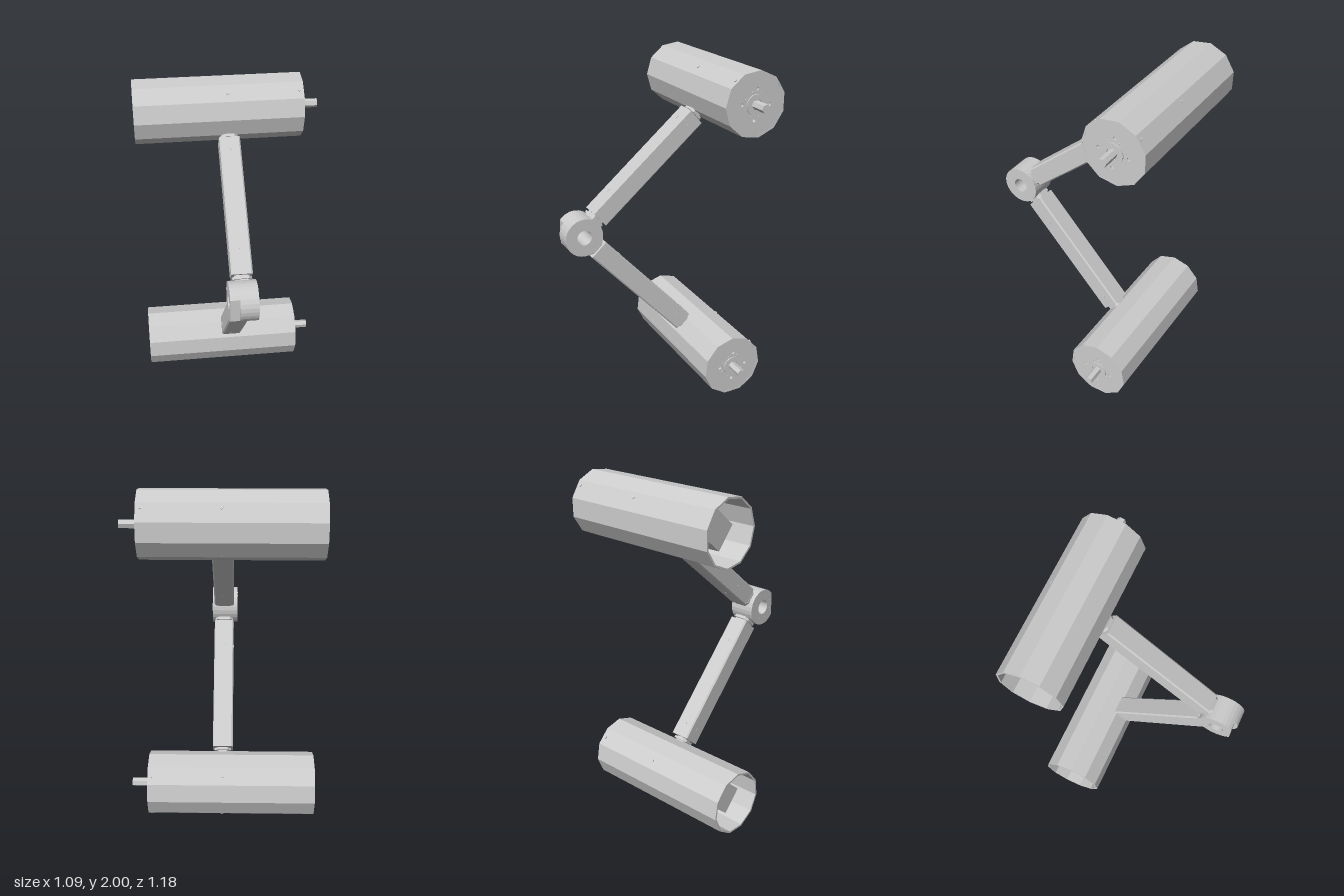
import * as THREE from 'three';

const TAU = Math.PI * 2;
const mat = new THREE.MeshStandardMaterial({ color: 0xcccccc, flatShading: true });

function add(parent, name, geometry, x = 0, y = 0, z = 0) {
  const mesh = new THREE.Mesh(geometry, mat);
  mesh.name = name;
  mesh.position.set(x, y, z);
  parent.add(mesh);
  return mesh;
}

// Regular polygon points in the side plane
function polygon(r, sides, start = 0, cx = 0, cy = 0) {
  return Array.from({ length: sides }, (_, i) => {
    const a = start + (i * TAU) / sides;
    return new THREE.Vector2(cx + r * Math.cos(a), cy + r * Math.sin(a));
  });
}

// Extrude an outline with holes along x, from x0 to x1
function slab(outline, holes, x0, x1) {
  const shape = new THREE.Shape(outline);
  holes.forEach(h => shape.holes.push(new THREE.Path(h)));
  return new THREE.ExtrudeGeometry(shape, { depth: x1 - x0, bevelEnabled: false })
    .rotateY(Math.PI / 2).translate(x0, 0, 0);
}

// Square bar along y with small chamfered edges
function squareBar(w, c, y0, y1) {
  const h = w / 2, s = new THREE.Shape();
  s.moveTo(-h + c, -h);
  [[h - c, -h], [h, -h + c], [h, h - c], [h - c, h], [-h + c, h], [-h, h - c], [-h, -h + c]]
    .forEach(p => s.lineTo(p[0], p[1]));
  return new THREE.ExtrudeGeometry(s, { depth: y1 - y0, bevelEnabled: false })
    .rotateX(-Math.PI / 2).translate(0, y0, 0);
}

// Screw head lying in a plane whose normal is n
function screw(parent, pos, n, r = 0.01) {
  const m = add(parent, 'screw', new THREE.CylinderGeometry(r, r, 0.006, 8), ...pos);
  m.quaternion.setFromUnitVectors(new THREE.Vector3(0, 1, 0), new THREE.Vector3(...n));
}

// Hollow drum with end cap, motor and drive shaft, centred on its own axis
function buildDrum() {
  const drum = new THREE.Group();
  drum.name = 'drum';
  const sides = 11, start = Math.PI - Math.PI / sides;
  add(drum, 'drumShell', slab(polygon(0.19, sides, start), [polygon(0.179, sides, start)], -0.545, 0.44));

  // end cap drilled with four bolt holes
  const holes = [0, 1, 2, 3].map(i => {
    const a = Math.PI / 4 + i * Math.PI / 2;
    return polygon(0.01, 10, 0, 0.088 * Math.cos(a), 0.088 * Math.sin(a));
  });
  add(drum, 'endCap', slab(polygon(0.18, sides, start), holes, 0.425, 0.439));
  add(drum, 'capBoss', slab(polygon(0.06, 20), [polygon(0.034, 20)], 0.437, 0.446));
  add(drum, 'driveShaft', slab(polygon(0.026, 6), [], 0.4, 0.545));
  for (let i = 0; i < 8; i++) {
    const a = (i + 0.5) * TAU / 8;
    screw(drum, [0.44, 0.073 * Math.cos(a), 0.073 * Math.sin(a)], [1, 0, 0], 0.006);
  }
  add(drum, 'motor', new THREE.BoxGeometry(0.86, 0.16, 0.16), -0.03, 0, 0);

  // screws through the shell
  for (const x of [0, 0.415]) {
    for (const s of [-1, 1]) screw(drum, [x, 0, s * 0.185], [0, 0, s], 0.009);
    screw(drum, [x, 0.184, 0], [0, 1, 0], 0.009);
  }
  return drum;
}

// Arm leaving the hinge along +y and carrying a drum at its far end
function buildLeg(name, length) {
  const leg = new THREE.Group();
  leg.name = name;
  const y0 = 0.137, y1 = length - 0.212;
  add(leg, 'arm', squareBar(0.122, 0.008, y0, y1));
  add(leg, 'hingeNeck', squareBar(0.09, 0.012, 0.085, y0 + 0.01));
  add(leg, 'hingeFlange', squareBar(0.112, 0.02, 0.112, 0.127));
  add(leg, 'drumNeck', squareBar(0.07, 0.012, y1 - 0.01, length - 0.16));
  add(leg, 'drumFlange', squareBar(0.1, 0.02, y1 + 0.006, y1 + 0.02));
  for (const y of [0.295, 0.885]) {
    for (const s of [-1, 1]) {
      screw(leg, [s * 0.06, y, 0], [s, 0, 0]);
      screw(leg, [0, y, s * 0.06], [0, 0, s]);
    }
  }
  const drum = buildDrum();
  drum.position.y = length;
  leg.add(drum);
  return leg;
}

// Ring hinge of two discs; the outer one has a flat on its front
function buildHinge() {
  const hinge = new THREE.Group();
  hinge.name = 'hinge';
  const bore = polygon(0.045, 24);
  add(hinge, 'hingeDisc', slab(polygon(0.115, 28), [bore], -0.03, 0.075));
  const flat = polygon(0.115, 28).map(p => new THREE.Vector2(Math.max(p.x, -0.09), p.y));
  add(hinge, 'hingeFork', slab(flat, [bore], -0.085, -0.03));
  for (let i = 0; i < 8; i++) {
    const a = (i + 0.5) * TAU / 8;
    for (const [x, s] of [[0.075, 1], [-0.085, -1]])
      screw(hinge, [x - s * 0.002, 0.075 * Math.cos(a), 0.075 * Math.sin(a)], [s, 0, 0], 0.005);
  }
  return hinge;
}

export function createModel() {
  const model = new THREE.Group();
  model.name = 'foldingArm';
  const hy = 1.045, hz = 0.475;

  const hinge = buildHinge();
  hinge.position.set(0, hy, hz);
  model.add(hinge);

  // upper and lower legs aim from the hinge to their drum centres
  for (const [name, y, z] of [['upperLeg', 1.812, -0.409], ['lowerLeg', 0.1835, -0.327]]) {
    const dy = y - hy, dz = z - hz;
    const leg = buildLeg(name, Math.hypot(dy, dz));
    leg.position.set(0, hy, hz);
    leg.rotation.x = Math.atan2(dz, dy);
    model.add(leg);
  }
  return model;
}
